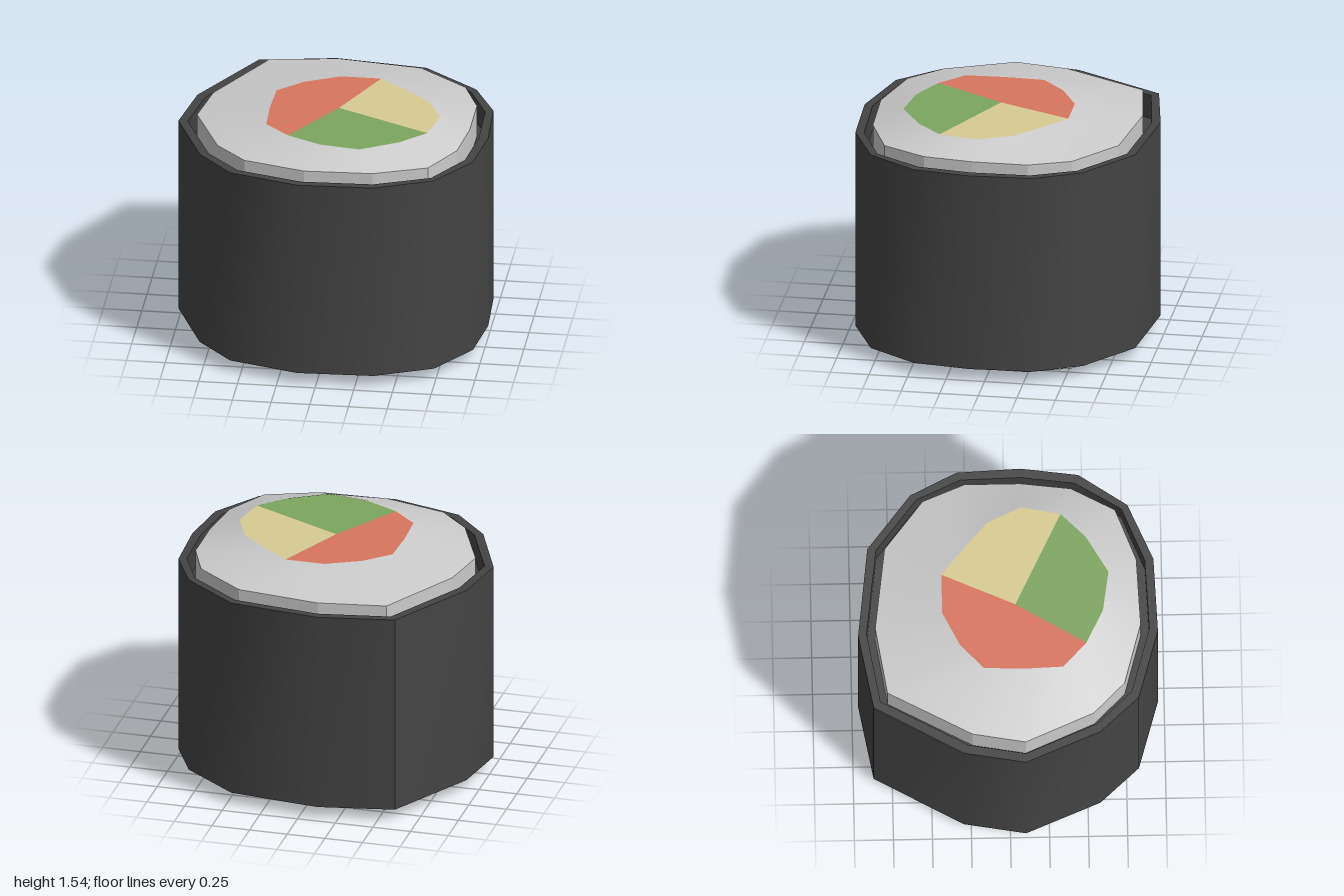
import * as THREE from 'three';
import { toCreasedNormals } from 'three/addons/utils/BufferGeometryUtils.js';

// Outlines as [x, z], clockwise seen from above, all with 14 matching corners
const OUTER = [[-0.12, -0.96], [0.47, -0.89], [0.83, -0.61], [0.98, -0.31], [1, 0.1], [0.95, 0.47], [0.74, 0.78],
  [0.37, 0.94], [-0.12, 0.96], [-0.57, 0.83], [-0.8, 0.58], [-1, 0.1], [-0.93, -0.3], [-0.61, -0.87]];
const RICE = [[-0.09, -0.85], [0.45, -0.78], [0.77, -0.53], [0.88, -0.26], [0.88, 0.1], [0.84, 0.42], [0.69, 0.7],
  [0.35, 0.83], [-0.09, 0.85], [-0.49, 0.74], [-0.69, 0.54], [-0.88, 0.1], [-0.82, -0.24], [-0.53, -0.78]];
const CORE = [[-0.02, -0.42], [0.24, -0.42], [0.41, -0.28], [0.59, -0.12], [0.69, 0.1], [0.64, 0.35], [0.48, 0.51],
  [0.24, 0.65], [-0.02, 0.61], [-0.24, 0.5], [-0.4, 0.35], [-0.41, 0.1], [-0.4, -0.16], [-0.24, -0.31]];
const N = OUTER.length;
const CX = 0.03, CZ = 0.05;

const ringAt = (outline, y) => outline.map(([x, z]) => [x, y, z]);
const MIDDLE = OUTER.map(([x, z], i) => [(x + RICE[i][0]) / 2, (z + RICE[i][1]) / 2]);
const CORE_LOW = CORE.map(([x, z]) => [CX + (x - CX) * 0.88, CZ + (z - CZ) * 0.88]);

function mesh(name, triangles, color, crease) {
  const geometry = new THREE.BufferGeometry();
  geometry.setAttribute('position', new THREE.Float32BufferAttribute(triangles.flat(), 3));
  const part = new THREE.Mesh(toCreasedNormals(geometry, crease), new THREE.MeshStandardMaterial({ color }));
  part.name = name;
  return part;
}

// Skin joining successive rings
function loft(name, rings, color, crease) {
  const tris = [];
  for (let r = 0; r < rings.length - 1; r++) {
    for (let i = 0; i < N; i++) {
      const j = (i + 1) % N, a = rings[r], b = rings[r + 1];
      tris.push(a[i], a[j], b[j], a[i], b[j], b[i]);
    }
  }
  return mesh(name, tris, color, crease);
}

// Wedge of filling: a fan from the centre over some of the core's corners
function wedge(name, outline, y, start, count, color, up) {
  const ring = ringAt(outline, y), centre = [CX, y, CZ], tris = [];
  for (let k = start; k < start + count; k++) {
    const a = ring[k % N], b = ring[(k + 1) % N];
    tris.push(centre, ...(up ? [b, a] : [a, b]));
  }
  return mesh(name, tris, color, 0.1);
}

export function createModel() {
  const group = new THREE.Group();
  group.name = 'sushiRoll';
  const rice = 0xcccccc, seaweed = 0x444444, red = 0xd8755e, green = 0x7da660, yellow = 0xd8cb92;

  // Seaweed wrapper with a recessed gap around the rice at both ends
  group.add(loft('seaweedWrapper', [
    ringAt(RICE, 1.25), ringAt(MIDDLE, 1.25), ringAt(MIDDLE, 1.41), ringAt(OUTER, 1.41),
    ringAt(OUTER, 0.08), ringAt(MIDDLE, 0.08), ringAt(MIDDLE, 0.24), ringAt(RICE, 0.24),
  ], seaweed, 0.8));

  // Rice: faceted sides and gently domed ends
  group.add(loft('riceSide', [ringAt(RICE, 1.46), ringAt(RICE, 0.035)], rice, 0.1));
  group.add(loft('riceTop', [ringAt(CORE, 1.54), ringAt(RICE, 1.46)], rice, 0.6));
  group.add(loft('riceBottom', [ringAt(RICE, 0.035), ringAt(CORE_LOW, 0)], rice, 0.6));

  // Fillings on both ends
  group.add(
    wedge('redFillingTop', CORE, 1.54, 9, 6, red, true),
    wedge('yellowFillingTop', CORE, 1.54, 1, 4, yellow, true),
    wedge('greenFillingTop', CORE, 1.54, 5, 4, green, true),
    wedge('redFillingBottom', CORE_LOW, 0, 4, 6, red, false),
    wedge('greenFillingBottom', CORE_LOW, 0, 10, 4, green, false),
    wedge('yellowFillingBottom', CORE_LOW, 0, 0, 4, yellow, false),
  );
  return group;
}
